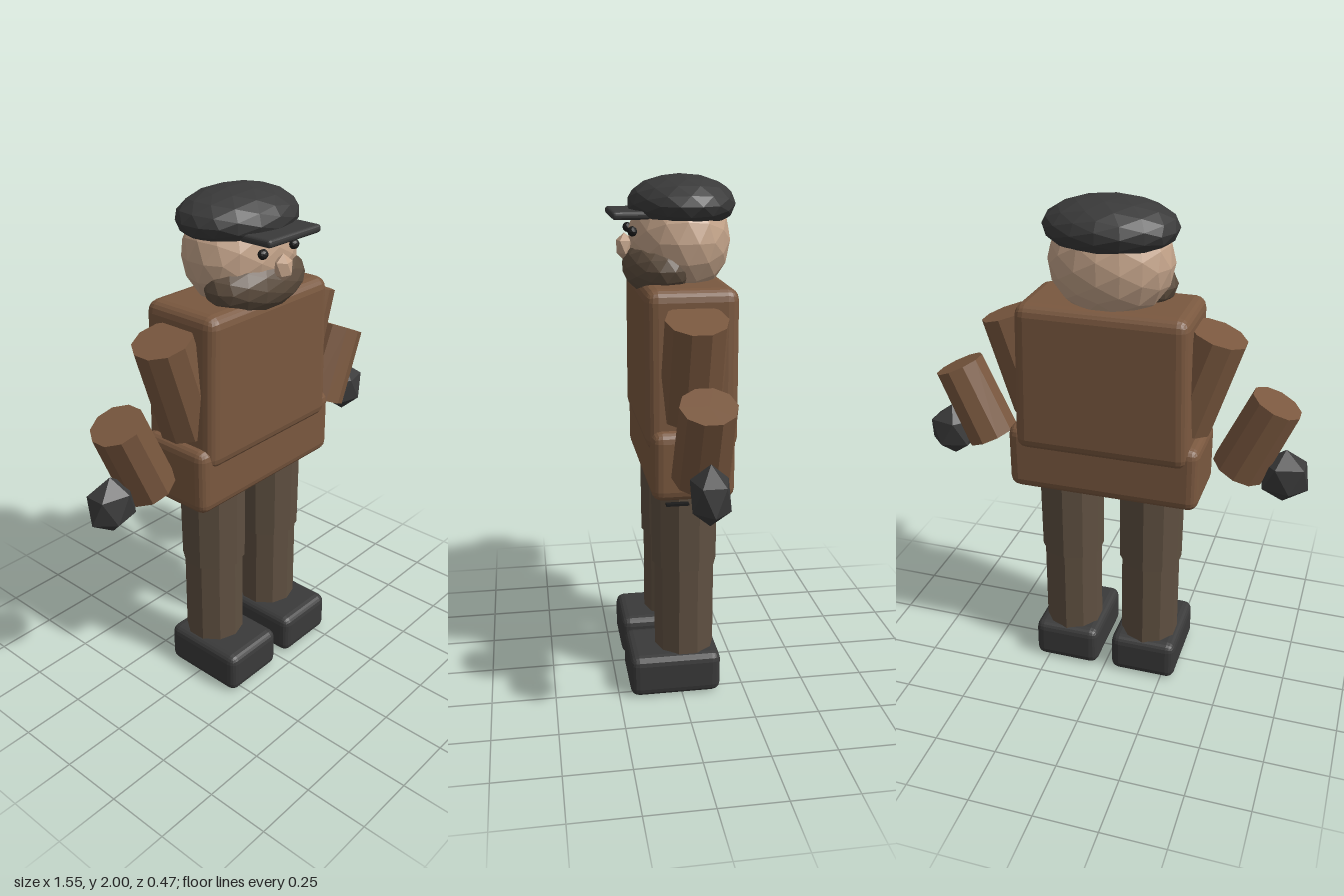
import * as THREE from 'three';
import { RoundedBoxGeometry } from 'three/addons/geometries/RoundedBoxGeometry.js';

const paint = (name, color) => {
  const m = new THREE.MeshStandardMaterial({ color, flatShading: true });
  m.name = name;
  return m;
};

export function createModel() {
  const coat = paint('coat brown', 0x7a583f);
  const trousers = paint('trouser brown', 0x5f5041);
  const charcoal = paint('charcoal', 0x3a3a3a);
  const skin = paint('skin', 0xc4a48a);
  const beardHair = paint('beard brown', 0x5e4e3f);
  const black = paint('eye black', 0x1c1c1c);

  const model = new THREE.Group();
  model.name = 'cappedMan';
  const Z = -0.028; // depth of the body's centre line

  const add = (name, geometry, material, x, y, z, tilt = 0) => {
    const mesh = new THREE.Mesh(geometry, material);
    mesh.name = name;
    mesh.position.set(x, y, z);
    mesh.rotation.z = tilt;
    model.add(mesh);
    return mesh;
  };
  const block = (w, h, d, r) => new RoundedBoxGeometry(w, h, d, 2, r);
  const limb = (top, bottom, h) => new THREE.CylinderGeometry(top, bottom, h, 10);
  const ball = (rx, ry, rz, detail) => new THREE.IcosahedronGeometry(1, detail).scale(rx, ry, rz);

  // Jacket, slightly narrower at the shoulders
  const chest = block(0.69, 0.59, 0.34, 0.045);
  const p = chest.attributes.position;
  for (let i = 0; i < p.count; i++) p.setX(i, p.getX(i) * (1 - 0.05 * (p.getY(i) / 0.59 + 0.5)));
  add('jacket', chest, coat, 0, 1.325, -0.03);
  add('jacketSkirt', block(0.76, 0.265, 0.31, 0.04), coat, 0, 0.983, Z);

  // Arms and legs
  for (const [side, s] of [['left', 1], ['right', -1]]) {
    add(side + 'UpperArm', limb(0.113, 0.117, 0.385), coat, s * 0.345, 1.347, Z, s * -0.32);
    add(side + 'Forearm', limb(0.1, 0.106, 0.317), coat, s * 0.57, 1.14, Z, s * -0.42);
    // One vertex of the hand points straight up
    const hand = new THREE.IcosahedronGeometry(1, 0).rotateZ(s * 0.553).scale(0.105, 0.11, 0.078);
    add(side + 'Hand', hand, charcoal, s * 0.682, 0.99, Z);
    add(side + 'Thigh', limb(0.13, 0.127, 0.36), trousers, s * 0.168, 0.71, Z + 0.003);
    add(side + 'Shin', limb(0.118, 0.118, 0.42), trousers, s * 0.168, 0.35, Z + 0.003);
    add(side + 'Boot', block(0.275, 0.17, 0.36, 0.035), charcoal, s * 0.168, 0.087, 0.025);
    add(side + 'Eye', ball(0.021, 0.019, 0.018, 1), black, s * 0.085, 1.8, 0.156);
  }

  // Head and face
  add('head', ball(0.236, 0.212, 0.192, 2), skin, 0, 1.765, Z);
  add('beard', ball(0.232, 0.116, 0.14, 2), beardHair, 0, 1.668, 0.047);
  add('nose', new THREE.IcosahedronGeometry(1, 0).rotateZ(0.553).scale(0.041, 0.052, 0.035), skin, 0, 1.737, 0.177);

  // Flat cap with a short peak
  add('cap', ball(0.251, 0.105, 0.202, 2), charcoal, 0, 1.895, -0.036);
  add('capPeak', block(0.285, 0.03, 0.19, 0.013), charcoal, 0, 1.86, 0.14);

  // Small plate beside the left hip
  add('hipPlate', new THREE.BoxGeometry(0.022, 0.009, 0.085), black, 0.333, 0.828, 0.028);

  return model;
}
